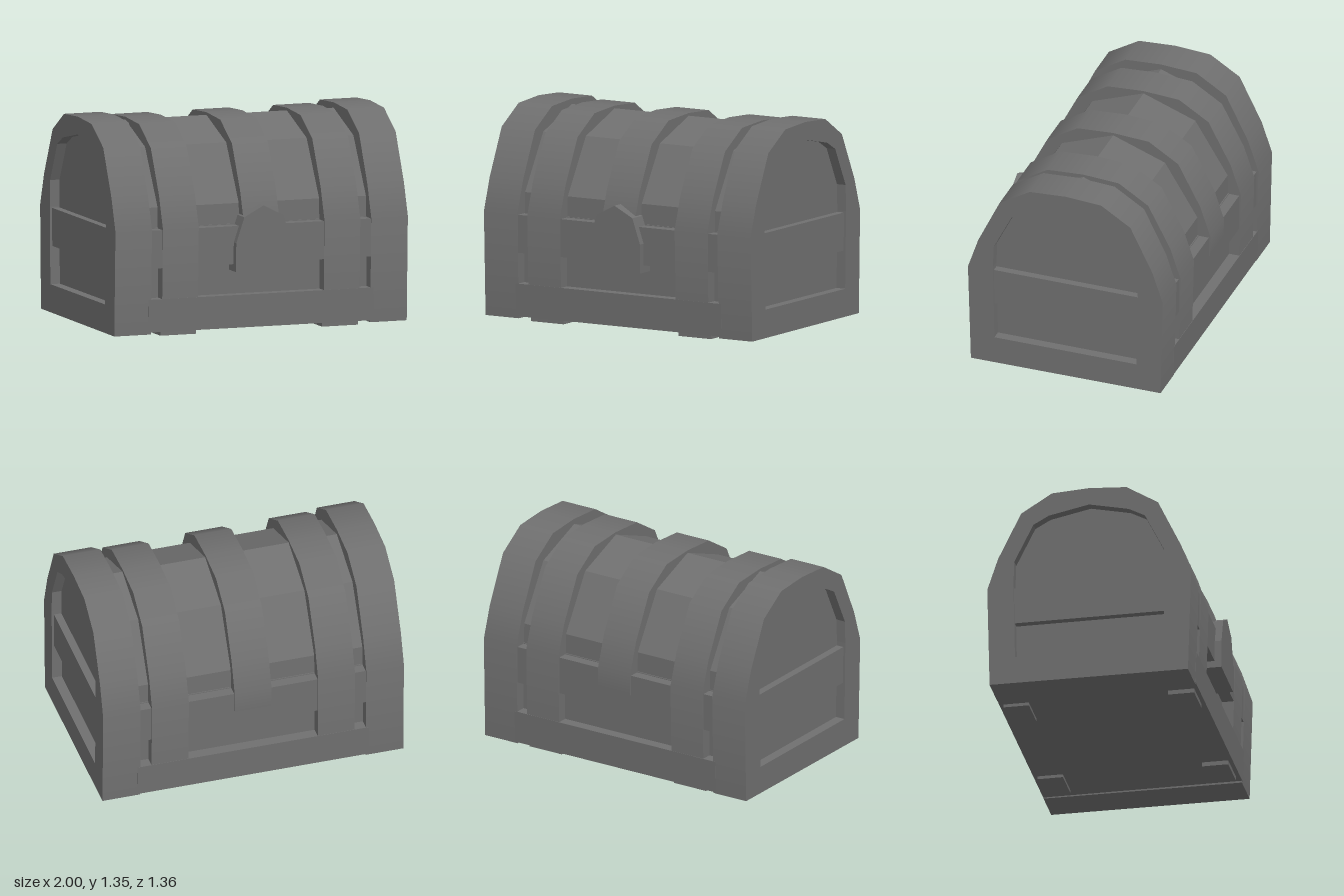
import * as THREE from 'three';

const flat = new THREE.MeshStandardMaterial({ color: 0x6f6f6f, flatShading: true });
const smooth = new THREE.MeshStandardMaterial({ color: 0x6f6f6f });

// Outlines as [z, y] points, running from the front bottom over the top to the back bottom.
const FRAME = [[0.625, 0.015], [0.645, 0.69], [0.575, 0.9], [0.43, 1.205], [0.225, 1.33], [-0.018, 1.345],
  [-0.26, 1.33], [-0.46, 1.205], [-0.61, 0.9], [-0.68, 0.69], [-0.665, 0.02]];
const OPENING = [[0.465, 0.2], [0.475, 0.72], [0.47, 0.87], [0.345, 1.12], [0.24, 1.175], [-0.018, 1.23],
  [-0.28, 1.175], [-0.38, 1.12], [-0.505, 0.87], [-0.51, 0.7], [-0.5, 0.2]];
const LID = [[0.555, 0.6], [0.55, 0.82], [0.33, 1.18], [-0.018, 1.31], [-0.37, 1.18], [-0.59, 0.82], [-0.595, 0.6]];
const BASE_RAIL = [[0.627, 0.028], [0.634, 0.24], [-0.672, 0.24], [-0.667, 0.028]];

const toVectors = (pts) => pts.map(([z, y]) => new THREE.Vector2(-z, y));

// Extrude a side outline along x from x0 to x1.
function sideExtrude(outline, x0, x1, hole) {
  const shape = new THREE.Shape(toVectors(outline));
  if (hole) shape.holes.push(new THREE.Path(toVectors(hole).reverse()));
  const geo = new THREE.ExtrudeGeometry(shape, { depth: x1 - x0, bevelEnabled: false });
  return geo.rotateY(Math.PI / 2).translate(x0, 0, 0);
}

// Round the shading along the arch of a band, keeping its sides and ends sharp.
function smoothArch(geo, outline) {
  const { position, normal } = geo.attributes;
  const segmentNormal = ([z0, y0], [z1, y1]) => new THREE.Vector3(0, z0 - z1, y1 - y0).normalize();
  for (let i = 1; i < outline.length - 1; i++) {
    const [z, y] = outline[i];
    const n = segmentNormal(outline[i - 1], outline[i]).add(segmentNormal(outline[i], outline[i + 1])).normalize();
    for (let v = 0; v < position.count; v++) {
      const here = Math.abs(position.getZ(v) - z) + Math.abs(position.getY(v) - y) < 1e-4;
      if (here && Math.abs(normal.getX(v)) < 0.1) normal.setXYZ(v, n.x, n.y, n.z);
    }
  }
  return geo;
}

export function createModel() {
  const chest = new THREE.Group();
  chest.name = 'chest';
  const add = (name, geo, mat = flat) => {
    const mesh = new THREE.Mesh(geo, mat);
    mesh.name = name;
    chest.add(mesh);
  };
  const box = (name, x0, x1, y0, y1, z0, z1) => add(name,
    new THREE.BoxGeometry(x1 - x0, y1 - y0, z1 - z0).translate((x0 + x1) / 2, (y0 + y1) / 2, (z0 + z1) / 2));
  const band = (name, outline, x0, x1, hole) =>
    add(name, smoothArch(sideExtrude(outline, x0, x1, hole), outline), smooth);

  // Body, faceted lid and the rails along front and back
  box('body', -0.8, 0.8, 0.04, 0.69, -0.6, 0.56);
  add('lid', sideExtrude(LID, -0.8, 0.8));
  add('baseRail', sideExtrude(BASE_RAIL, -0.77, 0.77));
  box('rimRail', -0.77, 0.77, 0.44, 0.685, -0.668, 0.636);

  // Straps sit slightly lower than the end frames and end inside the base rail
  const arch = FRAME.slice(1, -1).map(([z, y]) => [z, y > 1.1 ? y - 0.018 : y]);
  const strap = [[0.626, 0.04], ...arch, [-0.665, 0.04]];
  band('centreStrap', [[0.64, 0.55], ...arch, [-0.677, 0.55]], -0.12, 0.125);

  for (const side of [-1, 1]) {
    const span = (a, b) => (side > 0 ? [a, b] : [-b, -a]);
    const label = side > 0 ? 'left' : 'right';
    band(label + 'Strap', strap, ...span(0.43, 0.675));
    band(label + 'EndFrame', FRAME, ...span(0.75, 1), OPENING);

    // Recessed end panel and its cross plank
    const panel = OPENING.map(([z, y]) => [-0.018 + (z + 0.018) * 1.04, 0.7 + (y - 0.7) * 1.04]);
    add(label + 'EndPanel', sideExtrude(panel, ...span(0.78, 0.935)));
    box(label + 'EndPlank', ...span(0.9, 0.985), 0.445, 0.69, -0.53, 0.49);

    // Feet under the straps
    box(label + 'FrontFoot', ...span(0.43, 0.675), 0, 0.05, 0.43, 0.6);
    box(label + 'BackFoot', ...span(0.43, 0.675), 0.008, 0.05, -0.64, -0.475);
  }

  // Pointed lock plate
  const lock = new THREE.Shape([[-0.19, 0.395], [0.192, 0.392], [0.192, 0.58], [0.135, 0.745], [0, 0.815],
    [-0.132, 0.745], [-0.187, 0.58]].map(([x, y]) => new THREE.Vector2(x, y)));
  add('lockPlate', new THREE.ExtrudeGeometry(lock, { depth: 0.12, bevelEnabled: false }).translate(0, 0, 0.56));

  return chest;
}
